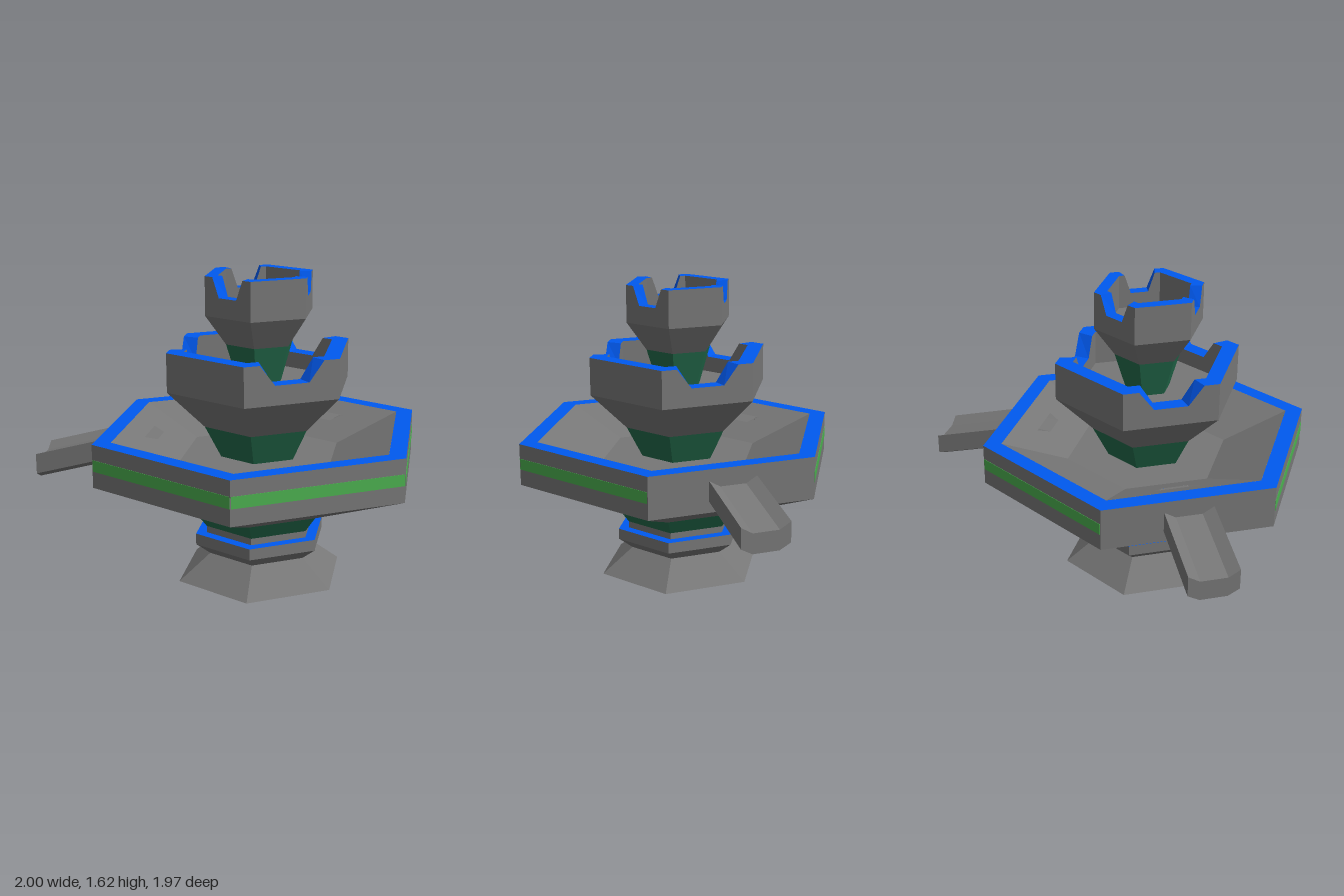
import * as THREE from 'three';

const mat = (color) => new THREE.MeshStandardMaterial({ color, flatShading: true });
const GREY = mat(0x777777);
const BLUE = mat(0x0059f0);
const DARK_GREEN = mat(0x236b4b);
const GREEN = mat(0x4cb050);
const SIDE = Math.PI / 3;
const COS = Math.cos(Math.PI / 6); // corner radius to flat-side distance
const BOWL = 0.903; // corner radius of the large basin

function addMesh(parent, name, geometry, material) {
  const mesh = new THREE.Mesh(geometry, material);
  mesh.name = name;
  parent.add(mesh);
  return mesh;
}

// Six-sided ring surface from [cornerRadius, y] points, bottom to top outside
function hexLathe(parent, name, points, material) {
  const profile = points.map(([r, y]) => new THREE.Vector2(r, y));
  return addMesh(parent, name, new THREE.LatheGeometry(profile, 6, Math.PI / 2), material);
}

// Quads given as four corners, counter-clockwise from the front
function quadGeometry(quads) {
  const pos = [];
  for (const [a, b, c, d] of quads) pos.push(...a, ...b, ...c, ...a, ...c, ...d);
  const g = new THREE.BufferGeometry();
  g.setAttribute('position', new THREE.Float32BufferAttribute(pos, 3));
  g.computeVertexNormals();
  return g;
}

// One wall panel of a basin facing +z; its notch narrows towards the inside
function wallPanel(parent, { outer, inner, base, floor, top, notch }, notched) {
  const line = (radius, taper) => {
    const h = radius / 2;
    if (!notched) return [[-h, top], [h, top]];
    const wide = notch.wide * taper, narrow = notch.narrow * taper;
    return [[-h, top], [-wide, top], [-narrow, notch.y], [narrow, notch.y], [wide, top], [h, top]];
  };
  const o = line(outer, 1), n = line(inner, 0.85);
  const zo = outer * COS, zi = inner * COS;
  const walls = [], cap = [];
  for (let i = 0; i < o.length - 1; i++) {
    const [ax, ay] = o[i], [bx, by] = o[i + 1];
    const [cx, cy] = n[i], [dx, dy] = n[i + 1];
    walls.push([[ax, base, zo], [bx, base, zo], [bx, by, zo], [ax, ay, zo]]);
    walls.push([[dx, floor, zi], [cx, floor, zi], [cx, cy, zi], [dx, dy, zi]]);
    cap.push([[ax, ay, zo], [bx, by, zo], [dx, dy, zi], [cx, cy, zi]]);
  }
  addMesh(parent, 'basinWall', quadGeometry(walls), GREY);
  addMesh(parent, 'basinRim', quadGeometry(cap), BLUE);
}

// Upper basin: tapered underside, flat floor and six notched or plain panels
function notchedBasin(parent, name, spec, notchedSides) {
  const basin = new THREE.Group();
  basin.name = name;
  parent.add(basin);
  hexLathe(basin, 'basinUnderside', [spec.foot, [spec.outer, spec.base]], GREY);
  hexLathe(basin, 'basinFloor', [[spec.inner, spec.floor], [0, spec.floor]], GREY);
  for (let k = 0; k < 6; k++) {
    const panel = new THREE.Group();
    panel.name = 'basinSide';
    panel.rotation.y = k * SIDE;
    wallPanel(panel, spec, notchedSides.includes(k));
    basin.add(panel);
  }
}

// One inner slope of the large basin facing +z, with or without a spout opening
function slopeGeometry(open) {
  const outline = (pts) => pts.map(([x, r]) => new THREE.Vector2(x, -r));
  const outer = 0.697, inner = 0.386;
  const shape = new THREE.Shape(outline([[-outer / COS / 2, outer], [outer / COS / 2, outer],
    [inner / COS / 2, inner], [-inner / COS / 2, inner]]));
  if (open) {
    shape.holes.push(new THREE.Path(outline([[-0.125, 0.592], [0.125, 0.592], [0.07, 0.535], [-0.07, 0.535]])));
  }
  const g = new THREE.ShapeGeometry(shape).rotateX(-Math.PI / 2);
  const p = g.attributes.position;
  for (let i = 0; i < p.count; i++) p.setY(i, 0.805 - 0.45 * (outer - p.getZ(i)));
  g.computeVertexNormals();
  return g;
}

// Sloping trough running out through one side of the large basin
function spoutGeometry() {
  const section = [[-0.13, 0.14], [-0.13, 0.032], [-0.07, 0], [0.07, 0],
    [0.13, 0.032], [0.13, 0.14], [0.07, 0.105], [-0.07, 0.105]];
  const shape = new THREE.Shape(section.map(([x, y]) => new THREE.Vector2(x, y)));
  const g = new THREE.ExtrudeGeometry(shape, { depth: 0.54, bevelEnabled: false });
  const p = g.attributes.position;
  for (let i = 0; i < p.count; i++) p.setY(i, p.getY(i) + 0.639 - 0.26 * p.getZ(i));
  g.translate(0, 0, 0.65);
  g.computeVertexNormals();
  return g;
}

// Channel from the opening in the slope to the head of the trough
const inletGeometry = () => quadGeometry([
  [[-0.07, 0.744, 0.65], [0.07, 0.744, 0.65], [0.07, 0.732, 0.535], [-0.07, 0.732, 0.535]],
  [[0.07, 0.744, 0.65], [0.13, 0.779, 0.65], [0.125, 0.758, 0.592], [0.07, 0.732, 0.535]],
  [[-0.13, 0.779, 0.65], [-0.07, 0.744, 0.65], [-0.07, 0.732, 0.535], [-0.125, 0.758, 0.592]],
]);

export function createModel() {
  const model = new THREE.Group();
  model.name = 'tieredFountain';
  const body = new THREE.Group();
  body.name = 'fountainBody';
  body.position.set(0.094, 0, 0.2);
  model.add(body);

  // Foot and collar
  hexLathe(body, 'foot', [[0, 0], [0.46, 0], [0.285, 0.135], [0.363, 0.195], [0.363, 0.255]], GREY);
  hexLathe(body, 'collarRim', [[0.363, 0.255], [0.303, 0.255]], BLUE);
  hexLathe(body, 'neck', [[0.303, 0.255], [0.303, 0.29]], GREY);
  hexLathe(body, 'lowerStem', [[0.303, 0.29], [0.365, 0.375]], DARK_GREEN);

  // Large basin
  hexLathe(body, 'largeBasinOutside', [[0.365, 0.375], [BOWL, 0.578], [BOWL, 0.805]], GREY);
  hexLathe(body, 'largeBasinRim', [[BOWL, 0.805], [0.805, 0.805]], BLUE);
  hexLathe(body, 'largeBasinFloor', [[0.446, 0.665], [0, 0.665]], GREY);

  // Sides of the large basin: two carry spouts, the others a stripe
  for (let k = 0; k < 6; k++) {
    const hasSpout = k === 3 || k === 5;
    const side = new THREE.Group();
    side.name = 'largeBasinSide';
    side.rotation.y = k * SIDE;
    body.add(side);
    addMesh(side, 'innerSlope', slopeGeometry(hasSpout), GREY);
    if (hasSpout) {
      addMesh(side, 'spoutTrough', spoutGeometry(), GREY);
      addMesh(side, 'spoutInlet', inletGeometry(), GREY);
    } else {
      const stripe = addMesh(side, 'stripe', new THREE.BoxGeometry(0.895, 0.06, 0.004), GREEN);
      stripe.position.set(0, 0.695, BOWL * COS);
    }
  }

  // Middle tier
  hexLathe(body, 'middleStem', [[0.215, 0.66], [0.305, 0.835]], DARK_GREEN);
  notchedBasin(body, 'middleBasin', {
    foot: [0.305, 0.835], outer: 0.505, inner: 0.41, base: 1.035, floor: 1.05,
    top: 1.24, notch: { y: 1.135, wide: 0.17, narrow: 0.09 },
  }, [1, 3, 5]);

  // Top tier
  hexLathe(body, 'topStem', [[0.12, 1.05], [0.185, 1.26]], DARK_GREEN);
  notchedBasin(body, 'topBasin', {
    foot: [0.185, 1.26], outer: 0.295, inner: 0.225, base: 1.415, floor: 1.435,
    top: 1.617, notch: { y: 1.515, wide: 0.097, narrow: 0.056 },
  }, [0, 2, 4]);

  return model;
}
